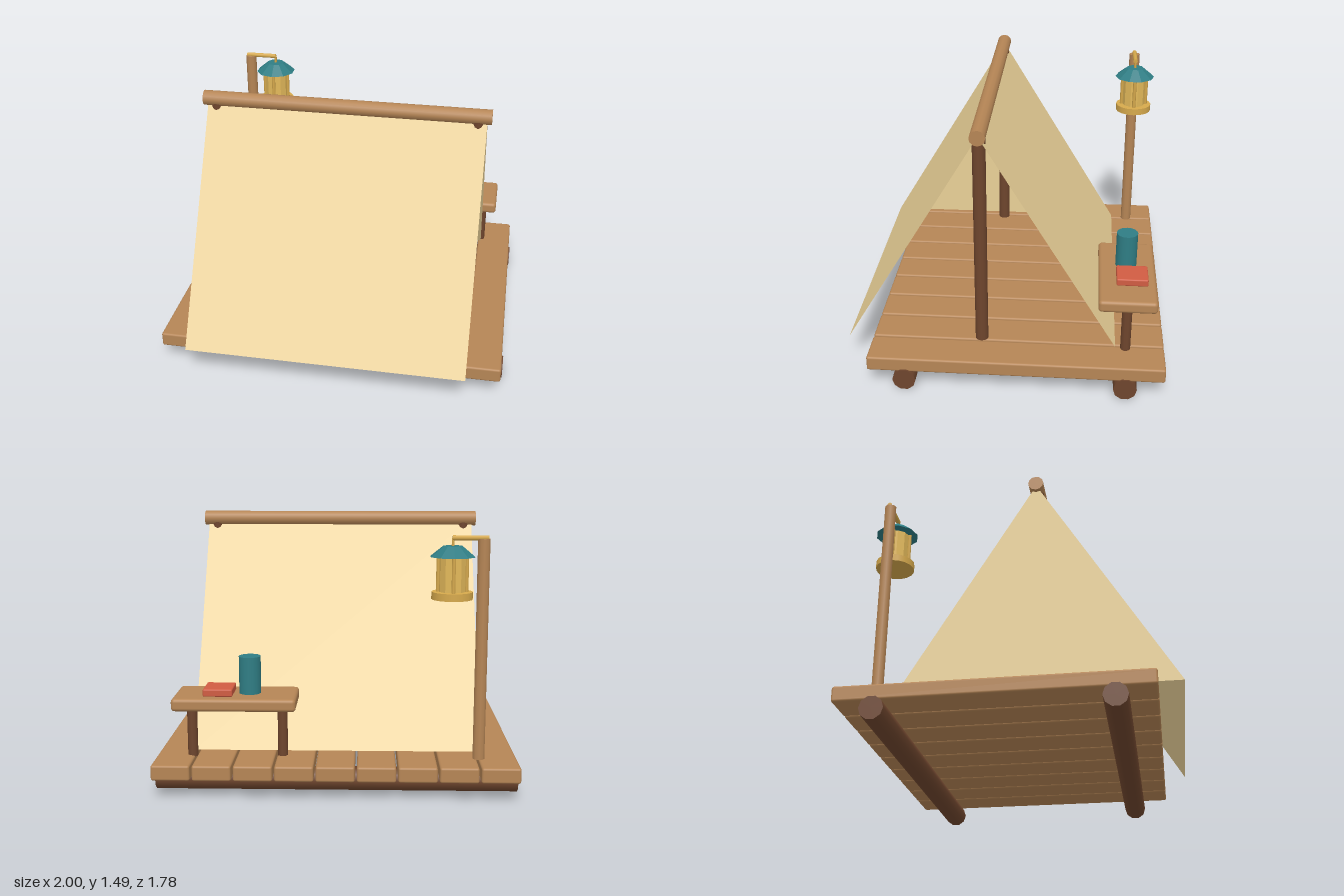
import * as THREE from 'three';
import { RoundedBoxGeometry } from 'three/addons/geometries/RoundedBoxGeometry.js';

const paint = (color, extra = {}) => new THREE.MeshStandardMaterial({ color, ...extra });

export function createModel() {
  const model = new THREE.Group();
  const wood = paint(0xb58555);
  const darkWood = paint(0x6e452d);
  const canvas = paint(0xe9d097, { side: THREE.DoubleSide });
  const teal = paint(0x2f7d84);
  const tealFlat = paint(0x2f7d84, { flatShading: true });
  const red = paint(0xd05c42);
  const gold = paint(0xd6a94c);
  const glassGold = paint(0xe3b95a, { flatShading: true });

  const add = (name, geometry, material, x, y, z, parent = model) => {
    const mesh = new THREE.Mesh(geometry, material);
    mesh.name = name;
    mesh.position.set(x, y, z);
    parent.add(mesh);
    return mesh;
  };
  // Upright cylinder between two heights
  const upright = (name, r, y0, y1, x, z, material, sides = 12, parent = model, rTop = r) =>
    add(name, new THREE.CylinderGeometry(rTop, r, y1 - y0, sides), material, x, (y0 + y1) / 2, z, parent);
  // Cylinder lying along x
  const beam = (name, r, length, x, y, z, material, sides = 12, parent = model) => {
    const mesh = add(name, new THREE.CylinderGeometry(r, r, length, sides), material, x, y, z, parent);
    mesh.rotation.z = Math.PI / 2;
    return mesh;
  };

  // Raft: two logs under nine planks
  for (const z of [0.55, -0.67]) beam('log', 0.065, 2, 0, 0.065, z, darkWood, 10);
  const plank = new RoundedBoxGeometry(0.21, 0.085, 1.645, 2, 0.012);
  for (let i = 0; i < 9; i++) add('plank', plank, wood, (i - 4) * 0.2215, 0.155, -0.065);

  // Tent frame
  const ridgeZ = 0.138;
  beam('ridgePole', 0.043, 1.65, 0, 1.453, ridgeZ, wood);
  for (const x of [-0.75, 0.75]) upright('tentPole', 0.036, 0.2, 1.44, x, ridgeZ, darkWood);

  // Canvas: front and back slopes, one closed end
  const a = 0.8, top = 1.452, low = 0.205, front = 0.89, back = -0.614;
  const quad = (z, dir) => [
    [-a * dir, low, z], [a * dir, low, z], [a * dir, top, ridgeZ],
    [-a * dir, low, z], [a * dir, top, ridgeZ], [-a * dir, top, ridgeZ],
  ];
  const panel = (name, corners) => {
    const g = new THREE.BufferGeometry();
    g.setAttribute('position', new THREE.Float32BufferAttribute(corners.flat(), 3));
    g.computeVertexNormals();
    add(name, g, canvas, 0, 0, 0);
  };
  panel('frontCanvas', quad(front, 1));
  panel('backCanvas', quad(back, -1));
  panel('endCanvas', [[-a, low, back], [-a, low, front], [-a, top, ridgeZ]]);

  // Table with cup and book
  const table = new THREE.Group();
  table.name = 'table';
  model.add(table);
  add('tableTop', new RoundedBoxGeometry(0.67, 0.07, 0.32, 3, 0.02), wood, 0.548, 0.515, -0.67, table);
  for (const x of [0.295, 0.795]) upright('tableLeg', 0.028, 0.19, 0.49, x, -0.67, darkWood, 10, table);
  upright('cup', 0.06, 0.55, 0.755, 0.472, -0.665, teal, 16, table);
  add('book', new RoundedBoxGeometry(0.16, 0.042, 0.175, 2, 0.008), red, 0.636, 0.573, -0.695, table);

  // Lantern hanging from its post
  const lx = -0.617, lz = -0.714;
  upright('lanternPost', 0.033, 0.2, 1.4, -0.78, lz, wood, 10);
  beam('lanternArm', 0.014, 0.19, -0.71, 1.404, lz, gold, 8);
  const lantern = new THREE.Group();
  lantern.name = 'lantern';
  model.add(lantern);
  upright('lanternHook', 0.008, 1.355, 1.404, lx, lz, gold, 6, lantern);
  upright('lanternRoof', 0.123, 1.305, 1.362, lx, lz, tealFlat, 10, lantern, 0.053);
  upright('lanternGlass', 0.07, 1.115, 1.31, lx, lz, glassGold, 10, lantern);
  for (let i = 0; i < 4; i++) {
    const t = (i * Math.PI) / 2;
    upright('lanternBar', 0.011, 1.115, 1.31, lx + 0.076 * Math.cos(t), lz + 0.076 * Math.sin(t), gold, 6, lantern);
  }
  upright('lanternBase', 0.11, 1.08, 1.12, lx, lz, gold, 16, lantern);

  return model;
}
